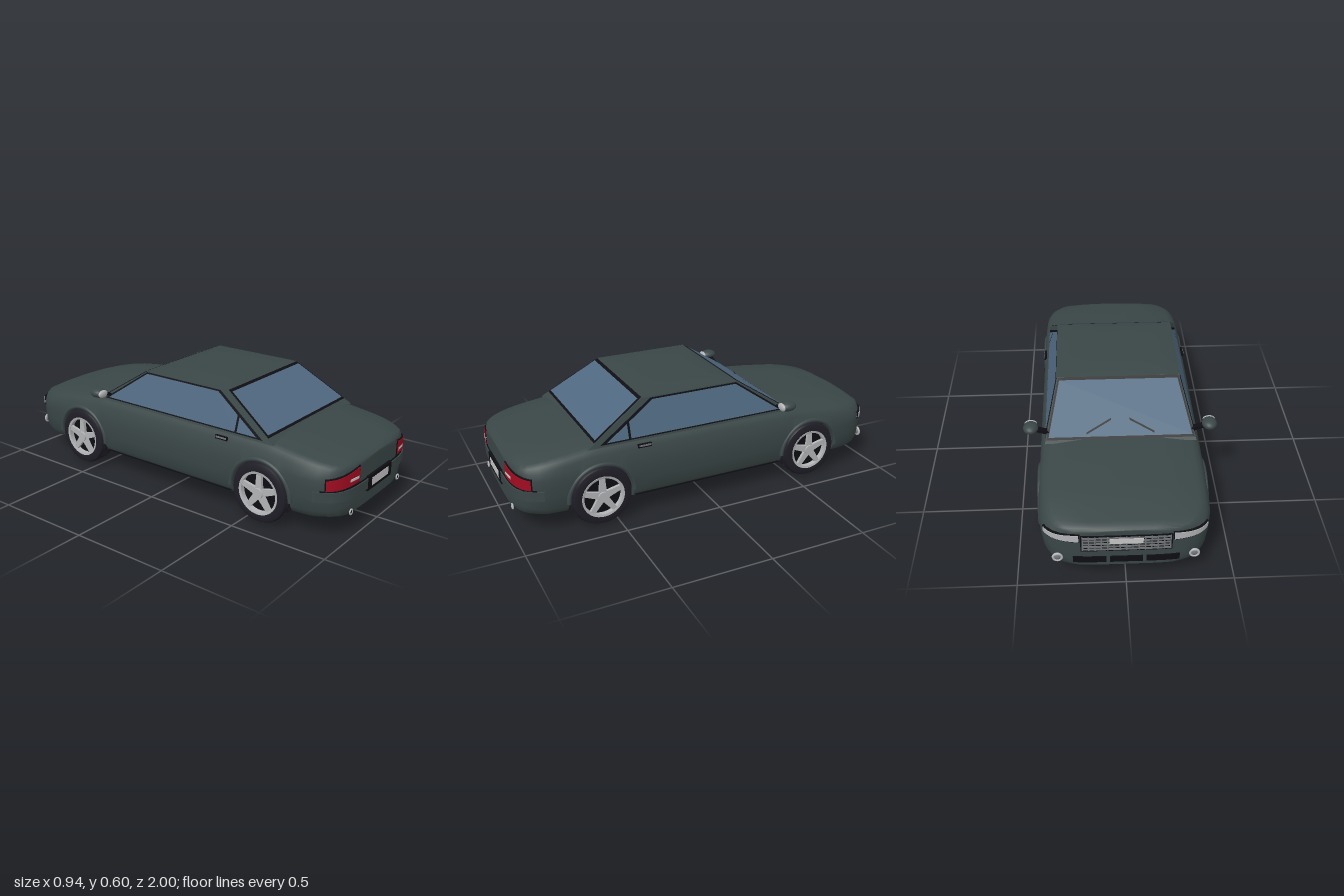
import * as THREE from 'three';
import { toCreasedNormals } from 'three/addons/utils/BufferGeometryUtils.js';

const mat = (name, color) => new THREE.MeshStandardMaterial({ name, color, side: THREE.DoubleSide });
const M = {
  body: mat('body paint', 0x3a4646), glass: mat('window glass', 0x4f6880),
  black: mat('black trim', 0x0e0e13), tyre: mat('tyre rubber', 0x1f1d26),
  red: mat('tail lamp red', 0xa00c20), silver: mat('bright metal', 0xb2b4b6),
  white: mat('number plate', 0xc6c6c6), grille: mat('grille grey', 0x707476),
};
const REAR = 0.985, NOSE = -0.995, ARCH_R = 0.165, AXLES = [0.58, -0.59], HUB_Y = 0.152;
const { lerp } = THREE.MathUtils;

// Piecewise-linear lookup in [[key, value], ...]
function table(t, k) {
  if (k <= t[0][0]) return t[0][1];
  for (let i = 1; i < t.length; i++)
    if (k <= t[i][0]) return lerp(t[i - 1][1], t[i][1], (k - t[i - 1][0]) / (t[i][0] - t[i - 1][0]));
  return t[t.length - 1][1];
}

// Rounded plan of both ends: half-width at depth d, and depth at x
const halfWidth = (d) => 0.398 * Math.pow(1 - Math.pow(Math.max(0, 1 - d / 0.4), 5), 0.2);
const depthAt = (x) => 0.4 * (1 - Math.pow(Math.max(0, 1 - Math.pow(Math.abs(x) / 0.398, 5)), 0.2));

// Joins rows of points into a surface with sharp edges kept
function skin(rows, crease = 0.6) {
  const n = rows[0].length, index = [];
  for (let i = 0; i < rows.length - 1; i++)
    for (let j = 0; j < n - 1; j++) {
      const a = i * n + j, b = a + n;
      index.push(a, b, a + 1, b, b + 1, a + 1);
    }
  const g = new THREE.BufferGeometry();
  g.setAttribute('position', new THREE.Float32BufferAttribute(rows.flat(2), 3));
  g.setIndex(index);
  return toCreasedNormals(g, crease);
}

function add(parent, name, geo, material, x = 0, y = 0, z = 0) {
  const m = new THREE.Mesh(geo, material);
  m.name = name;
  m.position.set(x, y, z);
  parent.add(m);
  return m;
}

// Flat polygon of 2D points carried onto a face by a mapping
function plate(parent, name, pts, map, material) {
  const g = new THREE.ShapeGeometry(new THREE.Shape(pts.map(([a, b]) => new THREE.Vector2(a, b))));
  const p = g.attributes.position;
  for (let i = 0; i < p.count; i++) p.setXYZ(i, ...map(p.getX(i), p.getY(i)));
  g.computeVertexNormals();
  return add(parent, name, g, material);
}

// Band wrapped round an end of the car: a and b are [x, yLow, yHigh]
function endBand(parent, name, end, a, b, off, material) {
  const rows = [], N = 20, e = 0.001;
  for (let i = 0; i <= N; i++) {
    const t = i / N, x = lerp(a[0], b[0], t), lo = lerp(a[1], b[1], t), hi = lerp(a[2], b[2], t);
    const slope = (depthAt(x + e) - depthAt(x - e)) / (2 * e), len = Math.hypot(slope, 1);
    const at = (o, y) => [x + o * slope / len, y,
      end > 0 ? REAR - depthAt(x) + o / len : NOSE + depthAt(x) - o / len];
    rows.push([at(-0.01, lo), at(off, lo), at(off, hi), at(-0.01, hi)]);
  }
  return add(parent, name, skin(rows), material);
}

// Lower shell: cross-sections along z, cut away over the wheels
function buildShell(car) {
  const zs = [];
  for (const d of [0, 0.0004, 0.002, 0.006, 0.012, 0.025, 0.045, 0.07, 0.11, 0.15, 0.2]) zs.push(REAR - d, NOSE + d);
  for (const c of AXLES) {
    for (let k = 0; k <= 20; k++) zs.push(c + ARCH_R * Math.cos(k * Math.PI / 20));
    zs.push(c + ARCH_R + 0.001, c - ARCH_R - 0.001);
  }
  zs.push(-0.3, -0.15, 0, 0.15, 0.3);
  zs.sort((a, b) => a - b);
  const tops = [[NOSE, 0.322], [-0.97, 0.336], [-0.8, 0.368], [-0.6, 0.392], [-0.45, 0.405], [0, 0.41],
    [0.5, 0.412], [0.62, 0.41], [0.8, 0.386], [0.96, 0.357], [REAR, 0.342]];
  const rows = zs.map((z) => {
    const d = Math.min(REAR - z, z - NOSE), w = halfWidth(d), yt = table(tops, z);
    const yb = table([[0, 0.115], [0.03, 0.096], [0.15, 0.085]], d);
    const c = AXLES.find((a) => Math.abs(z - a) <= ARCH_R + 1e-6);
    const cut = c === undefined ? yb : HUB_Y + Math.sqrt(Math.max(0, ARCH_R ** 2 - (z - c) ** 2));
    const lip = (z > -0.4265 && z < 0.4145) || d < 0.08 ? 0 : 0.72;
    const half = [[lip, yb], [0.8, yb], [0.92, yb + 0.018], [0.97, yb + 0.05], [0.99, 0.2], [1, 0.25], [0.995, 0.29],
      [0.97, yt - 0.045], [0.93, yt - 0.022], [0.86, yt - 0.009], [0.5, yt], [0, yt + 0.004]]
      .map(([f, y]) => [f * w, Math.max(y, cut), z]);
    return [...half, ...half.slice(0, -1).reverse().map(([x, y, zz]) => [-x, y, zz])];
  });
  add(car, 'bodyShell', skin(rows, 0.7), M.body);
}

// Cabin faces: side takes (z, y), ends take (x, y)
const rise = (y) => (y - 0.395) / 0.19;
const sideX = (y) => lerp(0.368, 0.305, rise(y));
const frontZ = (y) => lerp(-0.47, -0.178, rise(y));
const backZ = (y) => lerp(0.635, 0.33, rise(y));

function buildCabin(car) {
  const cabin = new THREE.Group();
  cabin.name = 'cabin';
  car.add(cabin);
  const ring = (y) => [[1, frontZ], [1, backZ], [-1, backZ], [-1, frontZ], [1, frontZ]].map(([s, f]) => [s * sideX(y), y, f(y)]);
  add(cabin, 'pillars', skin([ring(0.395), ring(0.585)], 0.1), M.body);

  // Crowned roof
  const roof = new THREE.PlaneGeometry(0.622, 0.52, 12, 12).rotateX(-Math.PI / 2);
  const p = roof.attributes.position;
  for (let i = 0; i < p.count; i++) {
    const u = p.getX(i) / 0.311, v = p.getZ(i) / 0.26;
    p.setY(i, 0.584 + 0.016 * (1 - u ** 4) * (1 - v ** 4));
  }
  roof.computeVertexNormals();
  add(cabin, 'roof', roof, M.body, 0, 0, 0.076);

  // Windscreen and rear window with black surrounds
  for (const [name, f, s, low] of [['windscreen', frontZ, -1, 0.412], ['rearWindow', backZ, 1, 0.425]]) {
    const quad = (m, lo, hi) => [[-sideX(lo) + m, lo], [sideX(lo) - m, lo], [sideX(hi) - m, hi], [-sideX(hi) + m, hi]];
    const on = (o) => (x, y) => [x, y + o, f(y) + s * o];
    plate(cabin, name + 'Surround', quad(0.003, low - 0.007, 0.584), on(0.002), M.black);
    plate(cabin, name, quad(0.013, low, 0.575), on(0.004), M.glass);
    if (s > 0) continue;
    for (const m of [1, -1]) plate(cabin, 'wiper',
      [[m * 0.165, 0.418], [m * 0.165, 0.424], [m * 0.045, 0.463], [m * 0.045, 0.457]], on(0.007), M.black);
  }
  for (const s of [1, -1]) {
    const on = (o) => (z, y) => [s * (sideX(y) + o), y, z];
    plate(cabin, 'sideWindowSurround', [[-0.43, 0.405], [-0.18, 0.578], [0.29, 0.578], [0.575, 0.405]], on(0.002), M.black);
    plate(cabin, 'doorWindow', [[-0.405, 0.412], [-0.175, 0.571], [0.28, 0.571], [0.415, 0.488], [0.415, 0.412]], on(0.004), M.glass);
    plate(cabin, 'quarterWindow', [[0.427, 0.412], [0.427, 0.481], [0.54, 0.412]], on(0.004), M.glass);
  }
}

// Wheel with axis along x, outer face at +x
function buildWheel() {
  const wheel = new THREE.Group();
  wheel.name = 'wheel';
  const lathe = (pts) => toCreasedNormals(new THREE.LatheGeometry(pts.map(([r, y]) => new THREE.Vector2(r, y)), 40).rotateZ(-Math.PI / 2), 0.6);
  add(wheel, 'tyre', lathe([[0.09, -0.05], [0.125, -0.053], [0.145, -0.046], [0.152, -0.032], [0.152, 0.032],
    [0.145, 0.046], [0.125, 0.053], [0.104, 0.05]]), M.tyre);
  add(wheel, 'rimRing', lathe([[0.096, 0.025], [0.096, 0.05], [0.108, 0.053], [0.108, 0.045]]), M.silver);
  add(wheel, 'rimWell', lathe([[0, 0.022], [0.098, 0.022], [0.098, -0.04], [0, -0.04]]), M.black);
  add(wheel, 'hub', new THREE.CylinderGeometry(0.025, 0.03, 0.024, 20).rotateZ(-Math.PI / 2), M.silver, 0.042);
  const shape = new THREE.Shape([[-0.019, 0.015], [0.019, 0.015], [0.012, 0.1], [-0.012, 0.1]].map((q) => new THREE.Vector2(...q)));
  const spoke = new THREE.ExtrudeGeometry(shape, { depth: 0.016, bevelEnabled: false }).rotateY(Math.PI / 2);
  for (let i = 0; i < 5; i++) add(wheel, 'spoke', spoke, M.silver, 0.032).rotation.x = i * Math.PI * 0.4;
  // Tread blocks
  const tread = new THREE.BoxGeometry(0.024, 0.005, 0.02);
  for (let i = 0; i < 32; i++) {
    const a = i * Math.PI / 16, side = i % 2 ? 0.016 : -0.016;
    add(wheel, 'treadBlock', tread, M.tyre, side, 0.1515 * Math.cos(a), 0.1515 * Math.sin(a)).rotation.x = a;
  }
  return wheel;
}

function buildSides(car) {
  for (const s of [1, -1]) {
    for (const z of AXLES) {
      const wheel = buildWheel();
      wheel.position.set(s * 0.353, HUB_Y + 0.002, z);
      if (s < 0) wheel.rotation.y = Math.PI;
      car.add(wheel);
      add(car, 'archFlare', new THREE.TorusGeometry(ARCH_R + 0.003, 0.011, 8, 32, Math.PI).rotateY(Math.PI / 2),
        M.body, s * 0.392, HUB_Y, z);
    }
    add(car, 'sillLine', new THREE.BoxGeometry(0.008, 0.005, 0.82), M.black, s * 0.376, 0.112, -0.006);
    add(car, 'doorHandle', new THREE.BoxGeometry(0.012, 0.018, 0.07), M.black, s * 0.387, 0.374, 0.355);
    add(car, 'handleGrip', new THREE.BoxGeometry(0.008, 0.008, 0.06), M.grille, s * 0.392, 0.376, 0.355);

    // Door mirror
    const mirror = new THREE.Group();
    mirror.name = 'doorMirror';
    add(mirror, 'mirrorShell', new THREE.SphereGeometry(1, 20, 14).scale(0.037, 0.025, 0.045), M.body, s * 0.435, 0.453, -0.412);
    add(mirror, 'mirrorGlass', new THREE.SphereGeometry(1, 20, 12).scale(0.031, 0.02, 0.012), M.silver, s * 0.436, 0.453, -0.378);
    add(mirror, 'mirrorArm', new THREE.BoxGeometry(0.07, 0.014, 0.03), M.black, s * 0.383, 0.434, -0.41).rotation.z = s * 0.3;
    car.add(mirror);
  }
}

function buildRear(car) {
  endBand(car, 'rearBumper', 1, [-0.385, 0.192, 0.24], [0.385, 0.192, 0.24], 0.01, M.body);
  endBand(car, 'bumperGap', 1, [-0.375, 0.24, 0.246], [0.375, 0.24, 0.246], 0.004, M.black);
  endBand(car, 'plateHolder', 1, [-0.12, 0.18, 0.252], [0.12, 0.18, 0.252], 0.013, M.black);
  endBand(car, 'rearPlate', 1, [-0.085, 0.196, 0.235], [0.085, 0.196, 0.235], 0.015, M.white);
  for (const s of [1, -1]) {
    endBand(car, 'tailLampFrame', 1, [s * 0.184, 0.252, 0.333], [s * 0.366, 0.242, 0.302], 0.004, M.black);
    endBand(car, 'tailLamp', 1, [s * 0.19, 0.257, 0.328], [s * 0.363, 0.247, 0.298], 0.007, M.red);
    endBand(car, 'reverseLamp', 1, [s * 0.2, 0.275, 0.287], [s * 0.265, 0.275, 0.287], 0.009, M.white);
    add(car, 'exhaustTip', new THREE.TorusGeometry(0.012, 0.004, 8, 20), M.silver, s * 0.24, 0.118, REAR - 0.004);
    add(car, 'exhaustBore', new THREE.CircleGeometry(0.012, 20), M.black, s * 0.24, 0.118, REAR - 0.003);
  }
}

function buildNose(car) {
  endBand(car, 'grilleFrame', -1, [-0.205, 0.205, 0.298], [0.205, 0.205, 0.298], 0.003, M.black);
  for (let i = 0; i < 5; i++) {
    const y = 0.212 + i * 0.017;
    endBand(car, 'grilleBar', -1, [-0.198, y, y + 0.01], [0.198, y, y + 0.01], 0.005, M.grille);
  }
  for (let i = 0; i < 15; i++) {
    const x = -0.196 + i * 0.028;
    endBand(car, 'grilleRib', -1, [x - 0.003, 0.21, 0.292], [x + 0.003, 0.21, 0.292], 0.005, M.grille);
  }
  endBand(car, 'frontPlate', -1, [-0.075, 0.252, 0.282], [0.075, 0.252, 0.282], 0.007, M.white);
  for (let i = -1; i <= 1; i++)
    endBand(car, 'lowerIntake', -1, [i * 0.165 - 0.075, 0.135, 0.17], [i * 0.165 + 0.075, 0.135, 0.17], 0.004, M.black);
  for (const s of [1, -1]) {
    endBand(car, 'headlampFrame', -1, [s * 0.207, 0.259, 0.307], [s * 0.37, 0.262, 0.295], 0.003, M.black);
    endBand(car, 'headlamp', -1, [s * 0.212, 0.264, 0.303], [s * 0.366, 0.267, 0.291], 0.006, M.silver);
    const z = NOSE + depthAt(0.315);
    add(car, 'fogLampRing', new THREE.TorusGeometry(0.02, 0.006, 8, 24), M.silver, s * 0.31, 0.15, z - 0.006);
    add(car, 'fogLamp', new THREE.SphereGeometry(0.017, 16, 10).scale(1, 1, 0.5), M.grille, s * 0.31, 0.15, z - 0.004);
  }
}

export function createModel() {
  const car = new THREE.Group();
  car.name = 'car';
  buildShell(car);
  buildCabin(car);
  buildSides(car);
  buildRear(car);
  buildNose(car);
  return car;
}
